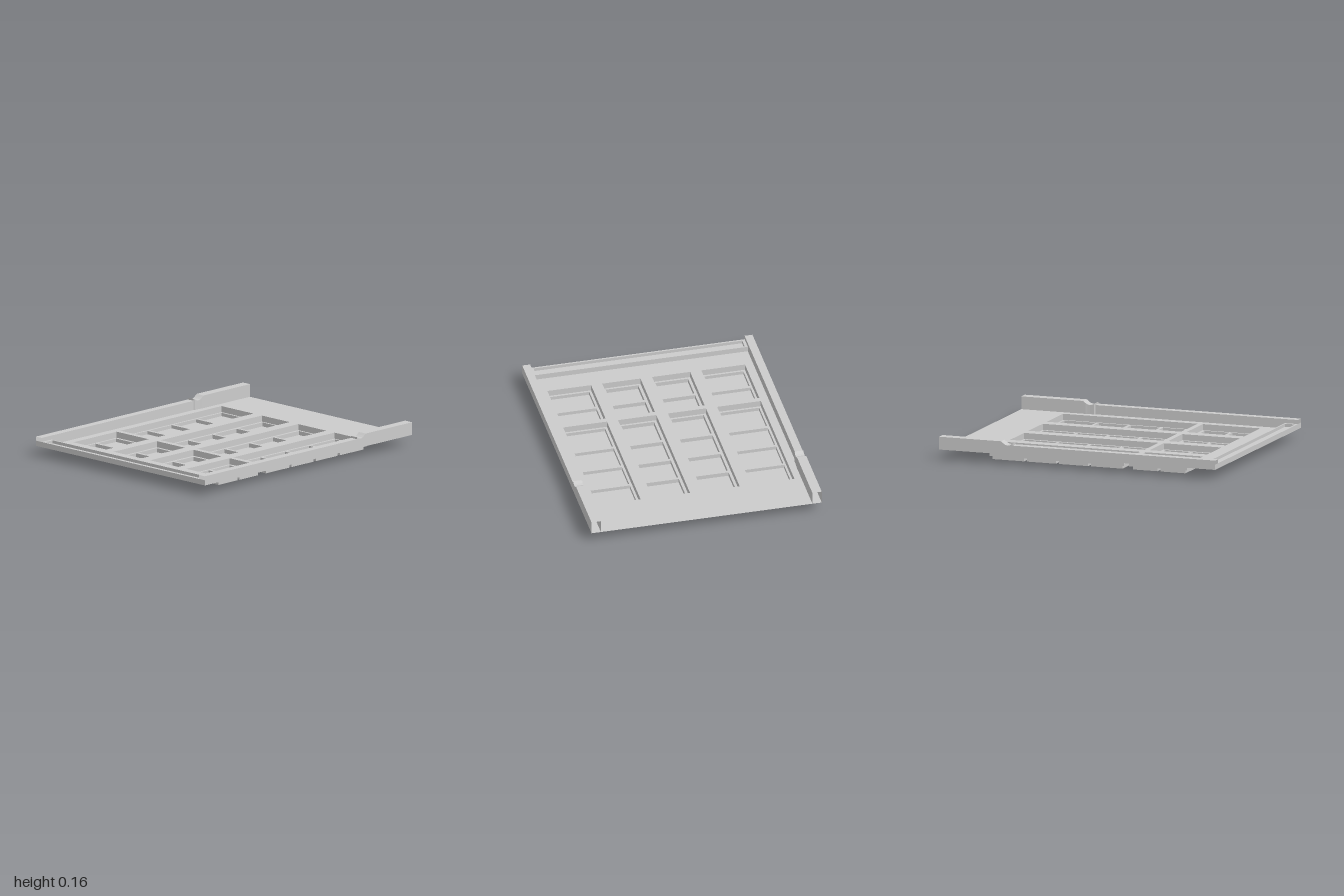
import * as THREE from 'three';

const FLOOR = 0.07, LEDGE = 0.028, LIP = 0.106;
const mat = new THREE.MeshStandardMaterial({ color: 0xcccccc, side: THREE.DoubleSide, flatShading: true });

function add(parent, geometry, name) {
  const mesh = new THREE.Mesh(geometry, mat);
  mesh.name = name;
  parent.add(mesh);
  return mesh;
}

// Rectangles are [x0, x1, z0, z1]
function corners([x0, x1, z0, z1]) {
  return [[x0, z0], [x0, z1], [x1, z1], [x1, z0]];
}

// Horizontal sheet with rectangular openings
function sheet(rect, y, holes = []) {
  const points = (r) => corners(r).map(([x, z]) => new THREE.Vector2(x, -z));
  const shape = new THREE.Shape(points(rect));
  shape.holes = holes.map((h) => new THREE.Path(points(h)));
  return new THREE.ShapeGeometry(shape).rotateX(-Math.PI / 2).translate(0, y, 0);
}

// Surface through a list of cross-sections with equal point counts
function loft(sections, closed = false) {
  const pos = [];
  const count = sections[0].length;
  for (let i = 0; i < sections.length - 1; i++) {
    for (let j = 0; j < (closed ? count : count - 1); j++) {
      const k = (j + 1) % count;
      const a = sections[i][j], b = sections[i][k], c = sections[i + 1][k], d = sections[i + 1][j];
      pos.push(...a, ...b, ...c, ...a, ...c, ...d);
    }
  }
  const g = new THREE.BufferGeometry();
  g.setAttribute('position', new THREE.Float32BufferAttribute(pos, 3));
  g.computeVertexNormals();
  return g;
}

// Vertical walls around a rectangle
function walls(rect, y0, y1) {
  return loft([y0, y1].map((y) => corners(rect).map(([x, z]) => [x, y, z])), true);
}

export function createModel() {
  const group = new THREE.Group();
  group.name = 'compartmentTray';

  // Columns: outer recess and the narrower cells inside it
  const columns = [
    { x: [-0.688, -0.385], cell: [-0.673, -0.402], bottom: 0.005 },
    { x: [-0.307, -0.043], cell: [-0.288, -0.062], bottom: 0 },
    { x: [0.038, 0.304], cell: [0.058, 0.284], bottom: 0 },
    { x: [0.381, 0.685], cell: [0.398, 0.67], bottom: 0.005 },
  ];
  // Long rear recesses of four cells, short front recesses of two
  const rows = [
    { name: 'rear', z: [-0.678, 0.296], cells: [[-0.664, -0.434], [-0.414, -0.204], [-0.182, 0.03], [0.053, 0.28]] },
    { name: 'front', z: [0.334, 0.752], cells: [[0.354, 0.532], [0.554, 0.736]] },
  ];

  const openings = [];
  for (const col of columns) {
    for (const row of rows) {
      const recess = new THREE.Group();
      recess.name = row.name + 'Recess';
      group.add(recess);
      const outer = [...col.x, ...row.z];
      const cells = row.cells.map((z) => [...col.cell, ...z]);
      openings.push(outer);
      add(recess, walls(outer, LEDGE, FLOOR), 'recessWalls');
      add(recess, sheet(outer, LEDGE, cells), 'recessLedge');
      for (const cell of cells) {
        add(recess, walls(cell, col.bottom, LEDGE), 'cellWalls');
        add(recess, sheet(cell, col.bottom), 'cellFloor');
      }
    }
  }
  add(group, sheet([-0.8, 0.8, -1, 1], FLOOR, openings), 'trayFloor');

  // Hollow side rails with a catch notch and a raised rear: [z, top height, inner x]
  const stations = [
    [1, 0.134, 0.745], [-0.467, 0.134, 0.745], [-0.467, 0.147, 0.745],
    [-0.475, 0.143, 0.738], [-0.487, 0.135, 0.738], [-0.505, 0.132, 0.738],
    [-0.522, 0.136, 0.737], [-0.537, 0.146, 0.735], [-0.552, 0.158, 0.735], [-1, 0.158, 0.735],
  ];
  for (const s of [1, -1]) {
    const sections = stations.map(([z, y, x]) => [
      [s * 0.8, FLOOR, z], [s * 0.8, y, z], [s * x, y, z], [s * x, FLOOR, z],
    ]);
    if (s > 0) sections.reverse();
    add(group, loft(sections), s > 0 ? 'leftRail' : 'rightRail');
  }

  // Front lip with a long shallow groove
  const lip = new THREE.Group();
  lip.name = 'frontLip';
  group.add(lip);
  const groove = [-0.725, 0.725, 0.915, 0.987];
  add(lip, sheet([-0.745, 0.745, 0.905, 1], LIP, [groove]), 'lipTop');
  add(lip, walls(groove, 0.085, LIP), 'grooveWalls');
  add(lip, sheet(groove, 0.085), 'grooveFloor');
  add(lip, new THREE.PlaneGeometry(1.6, LIP - FLOOR).translate(0, (LIP + FLOOR) / 2, 1), 'lipFront');
  add(lip, new THREE.PlaneGeometry(1.49, LIP - FLOOR).rotateY(Math.PI)
    .translate(0, (LIP + FLOOR) / 2, 0.905), 'lipBack');

  return group;
}
